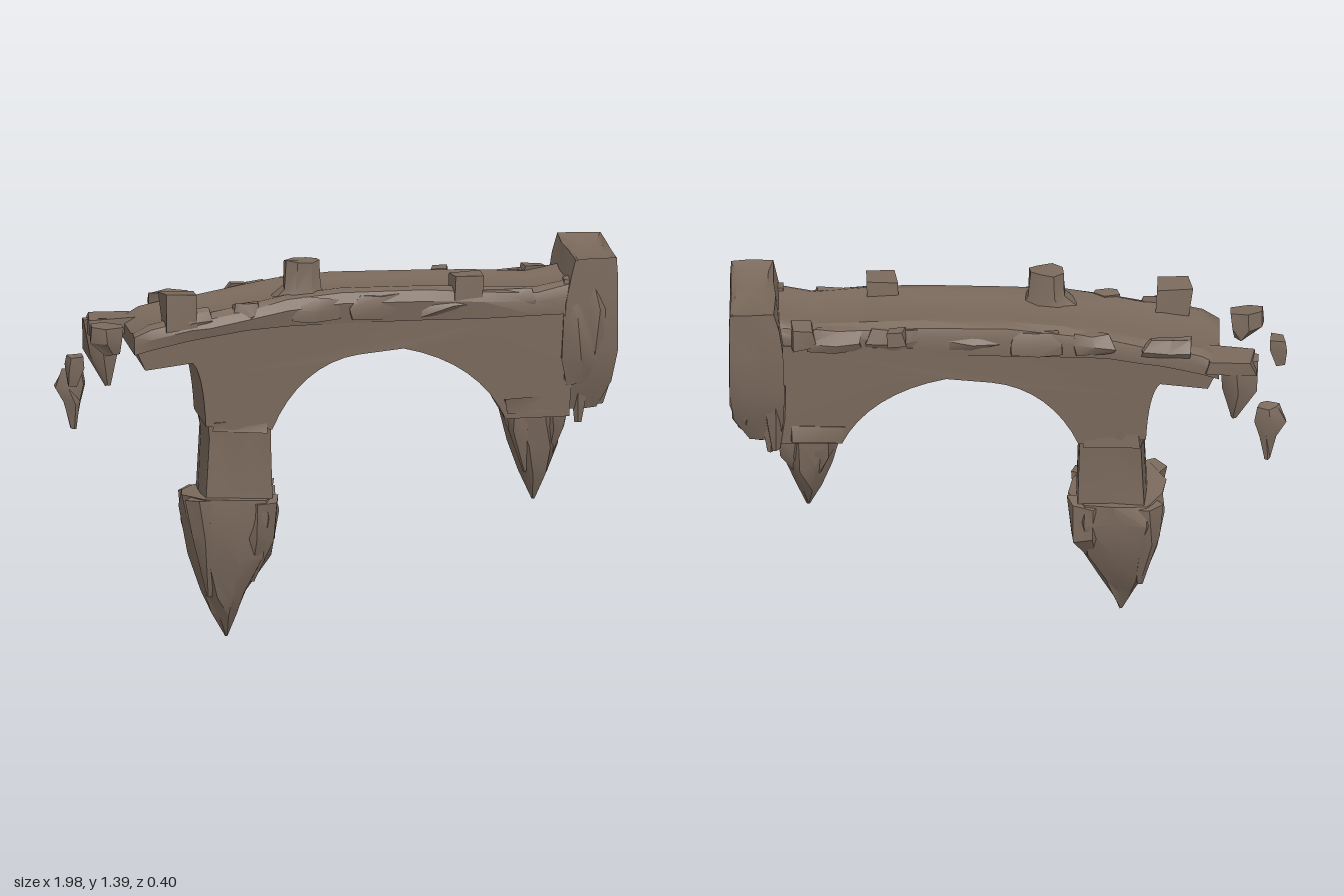
import * as THREE from 'three';
import { toCreasedNormals } from 'three/addons/utils/BufferGeometryUtils.js';

let seed = 7;
function rnd(a = 1) { // seeded noise in -a..a
  seed = (seed * 16807) % 2147483647;
  return (seed / 2147483647 * 2 - 1) * a;
}

// Closed skin through rings of [x, y, z] points, turned outward
function loft(rings) {
  const n = rings[0].length, pos = [], idx = [];
  rings.forEach(r => r.forEach(p => pos.push(...p)));
  for (let i = 0; i < rings.length - 1; i++) for (let j = 0; j < n; j++) {
    const a = i * n + j, b = i * n + (j + 1) % n;
    idx.push(a, b, a + n, b, b + n, a + n);
  }
  [0, rings.length - 1].forEach((k, end) => {
    const c = pos.length / 3;
    pos.push(...[0, 1, 2].map(d => rings[k].reduce((s, p) => s + p[d], 0) / n));
    for (let j = 0; j < n; j++) {
      const a = k * n + j, b = k * n + (j + 1) % n;
      end ? idx.push(a, b, c) : idx.push(b, a, c);
    }
  });
  const P = i => new THREE.Vector3().fromArray(pos, i * 3);
  let volume = 0;
  for (let i = 0; i < idx.length; i += 3) volume += P(idx[i]).dot(P(idx[i + 1]).cross(P(idx[i + 2])));
  if (volume < 0) idx.reverse();
  const g = new THREE.BufferGeometry();
  g.setAttribute('position', new THREE.Float32BufferAttribute(pos, 3));
  g.setIndex(idx);
  return toCreasedNormals(g, 0.6);
}

// Vertical rock from levels [y, x, z, radiusX, radiusZ]; square 1 = box-like, 0 = round
function rock(levels, sides, square, rough) {
  return loft(levels.map(([y, cx, cz, rx, rz]) => Array.from({ length: sides }, (_, j) => {
    const a = (j + 0.5) / sides * Math.PI * 2, c = Math.cos(a), s = Math.sin(a);
    const k = 1 + square * (1 / Math.max(Math.abs(c), Math.abs(s)) - 1);
    const small = Math.min(rough, rx * 0.3);
    return [cx + c * k * rx + rnd(small), y + rnd(small * 0.8), cz + s * k * rz + rnd(small)];
  })));
}

export function createModel() {
  seed = 7;
  const group = new THREE.Group();
  const stone = new THREE.MeshStandardMaterial({ color: 0x7b6a5d });
  stone.name = 'brown stone';
  const add = (name, geometry) => {
    const m = new THREE.Mesh(geometry, stone);
    m.name = name;
    group.add(m);
  };
  // Rough block spanning two corners
  const block = (name, x0, x1, y0, y1, z0, z1, rough = 0.008) => {
    const cx = (x0 + x1) / 2, cz = (z0 + z1) / 2, rx = (x1 - x0) / 2, rz = (z1 - z0) / 2;
    add(name, rock([[y0, cx, cz, rx, rz], [y1, cx, cz, rx * 0.92, rz * 0.92]], 4, 1, rough));
  };

  // Arched wall
  const s = new THREE.Shape();
  s.moveTo(-0.75, 1.11);
  s.lineTo(-0.71, 1.02);
  s.lineTo(-0.54, 1.04);
  s.quadraticCurveTo(-0.5, 1.0, -0.49, 0.8);
  s.lineTo(-0.25, 0.78);
  s.bezierCurveTo(-0.19, 0.93, -0.08, 1.03, 0.06, 1.045);
  s.lineTo(0.22, 1.06);
  s.bezierCurveTo(0.4, 1.02, 0.53, 0.92, 0.59, 0.78);
  s.lineTo(0.82, 0.78);
  s.lineTo(0.84, 1.2);
  s.lineTo(-0.3, 1.18);
  s.lineTo(-0.5, 1.16);
  const wall = new THREE.ExtrudeGeometry(s, { depth: 0.28, bevelEnabled: false, curveSegments: 8 });
  wall.translate(0, 0, -0.14);
  // Pinch the wall towards the pier thickness lower down
  const wp = wall.attributes.position;
  for (let i = 0; i < wp.count; i++) wp.setZ(i, wp.getZ(i) * (0.9 + 0.13 * Math.min(1, (wp.getY(i) - 0.78) / 0.38)));
  add('archWall', toCreasedNormals(wall, 0.6));

  // Deck with worn rims: [x, bottom, top, front z, back z]
  const deck = [[-0.75, 1.08, 1.15, 0.15, -0.175], [-0.69, 1.1, 1.185, 0.165, -0.175], [-0.55, 1.13, 1.215, 0.17, -0.17],
    [-0.48, 1.14, 1.22, 0.17, -0.17], [-0.35, 1.16, 1.245, 0.175, -0.165], [-0.2, 1.165, 1.27, 0.16, -0.165],
    [0, 1.165, 1.285, 0.15, -0.16], [0.3, 1.165, 1.282, 0.16, -0.145], [0.5, 1.165, 1.275, 0.175, -0.145],
    [0.7, 1.165, 1.262, 0.165, -0.14], [0.86, 1.165, 1.29, 0.16, -0.145]];
  add('deck', loft(deck.map(([x, b, t, f, k]) => [
    [x, b, f - 0.005], [x, t - 0.045, f + rnd(0.008)], [x, t - 0.012 + rnd(0.006), f - 0.012], [x, t, f - 0.045],
    [x, t - 0.01, f - 0.09], [x, t - 0.01, k + 0.09], [x, t, k + 0.045],
    [x, t - 0.012 + rnd(0.006), k + 0.012], [x, t - 0.045, k + rnd(0.008)], [x, b, k + 0.005]])));

  // Long worn stones bedded in both edges of the deck
  for (const side of [1, -1]) for (let i = 0; i < 6; i++) {
    const x = -0.56 + i * 0.235 + rnd(0.03), w = 0.085 + rnd(0.03);
    const y = 1.185 + 0.035 * Math.min(1, (x + 0.7) * 2), z = side > 0 ? 0.148 : -0.137 - 0.02 * (x < 0);
    add('edgeStone', rock([[y - 0.04, x, z, w, 0.012], [y, x, z, w, 0.026],
      [y + 0.04, x + rnd(0.02), z - side * 0.012, w * 0.85, 0.016]], 6, 0.9, 0.009));
  }

  // Raised parapet blocks
  block('merlon', -0.65, -0.525, 1.17, 1.3, 0.08, 0.165, 0.012);
  add('merlon', rock([[1.235, -0.15, 0.075, 0.11, 0.06], [1.29, -0.135, 0.075, 0.07, 0.048],
    [1.385, -0.135, 0.075, 0.06, 0.04]], 8, 0.85, 0.006));
  block('merlon', 0.395, 0.505, 1.22, 1.32, 0.08, 0.17);
  block('merlon', 0.37, 0.43, 1.22, 1.27, -0.18, -0.13, 0.012);
  block('merlon', 0.69, 0.77, 1.2, 1.27, -0.16, -0.1, 0.015);

  // Main pier and its pointed rock foot
  add('pier', rock([[1.0, -0.368, 0, 0.12, 0.13], [0.8, -0.368, 0, 0.122, 0.128],
    [0.75, -0.365, 0, 0.117, 0.122], [0.5, -0.368, 0, 0.125, 0.128]], 12, 0.8, 0.004));
  add('pierFoot', rock([[0.53, -0.385, 0, 0.168, 0.16], [0.46, -0.385, 0, 0.163, 0.165], [0.3, -0.385, 0.01, 0.135, 0.135],
    [0.17, -0.4, 0.02, 0.083, 0.095], [0.09, -0.4, 0.02, 0.045, 0.05], [0, -0.4, 0.025, 0.004, 0.004]], 10, 0.45, 0.014));
  // Slabs split off the foot
  [[-0.49, 0.12, 0.53], [-0.29, 0.115, 0.52], [-0.28, -0.11, 0.53], [-0.49, -0.11, 0.52]]
    .forEach(([x, z, y], i) => add('footShard', rock([[y, x, z, 0.065, 0.05], [y - 0.14, x, z, 0.06, 0.042],
      [0.16 + (i % 3) * 0.05, x * 0.75 - 0.1, z * 0.6, 0.012, 0.012]], 5, 0.4, 0.014)));

  // Hanging pier stump at the other springing
  add('brokenPier', rock([[0.92, 0.7, 0, 0.11, 0.125], [0.77, 0.7, -0.01, 0.11, 0.115], [0.66, 0.715, -0.01, 0.09, 0.1],
    [0.55, 0.715, 0, 0.05, 0.06], [0.45, 0.71, 0.005, 0.005, 0.005]], 8, 0.55, 0.012));
  [[0.64, 0.06, 0.56], [0.78, 0.05, 0.6], [0.65, -0.08, 0.6], [0.77, -0.08, 0.62]].forEach(([x, z, tip]) =>
    add('pierShard', rock([[0.82, x, z, 0.045, 0.05], [0.72, x, z, 0.035, 0.04],
      [tip, x * 0.6 + 0.29, z * 0.7, 0.006, 0.006]], 5, 0.4, 0.01)));

  // Worn springing ledges on both piers
  for (const z of [0.118, -0.118]) {
    block('ledge', -0.47, -0.27, 0.775, 0.815, z - 0.016, z + 0.016, 0.012);
    block('ledge', 0.59, 0.76, 0.79, 0.85, z - 0.022, z + 0.022, 0.018);
  }

  // Tall square end block with a ragged underside and a dipped top
  add('endBlock', rock([[1.352, 0.912, -0.02, 0.055, 0.14], [1.365, 0.908, -0.02, 0.078, 0.186], [1.3, 0.903, -0.02, 0.086, 0.187],
    [1.2, 0.897, -0.02, 0.096, 0.185], [1.03, 0.895, -0.02, 0.098, 0.183], [0.9, 0.885, -0.015, 0.09, 0.148],
    [0.8, 0.865, -0.015, 0.055, 0.11]], 12, 0.97, 0.005));
  [[0.86, 0.09, 0.75], [0.94, 0.08, 0.81], [0.95, -0.02, 0.79], [0.88, -0.03, 0.74], [0.85, -0.12, 0.75], [0.94, -0.12, 0.84],
    [0.83, -0.135, 0.76]].forEach(([x, z, tip]) =>
    add('endShard', rock([[1.04, x, z, 0.04, 0.05], [0.9, x, z, 0.038, 0.045],
      [tip, x - 0.005, z, 0.012, 0.014]], 5, 0.4, 0.012)));
  add('frontFacing', rock([[1.29, 0.85, 0.12, 0.045, 0.03], [1.15, 0.85, 0.13, 0.06, 0.045], [1.0, 0.85, 0.13, 0.06, 0.04],
    [0.9, 0.85, 0.115, 0.05, 0.03]], 6, 0.8, 0.012));
  add('frontFacing', rock([[1.29, 0.91, 0.13, 0.035, 0.03], [1.18, 0.91, 0.14, 0.045, 0.045],
    [1.02, 0.91, 0.13, 0.04, 0.035]], 6, 0.8, 0.012));

  // Broken deck end at the back
  block('brokenEdge', -0.88, -0.7, 1.1, 1.16, -0.18, -0.075, 0.012);
  add('brokenEdgeShard', rock([[1.15, -0.82, -0.13, 0.065, 0.05], [1.03, -0.82, -0.13, 0.058, 0.048],
    [0.9, -0.8, -0.13, 0.01, 0.012]], 6, 0.5, 0.012));

  // Floating fragments
  add('floatingRock', rock([[1.19, -0.85, 0.12, 0.058, 0.04], [1.13, -0.85, 0.12, 0.055, 0.045],
    [1.08, -0.83, 0.12, 0.03, 0.025]], 6, 0.8, 0.008));
  add('floatingRock', rock([[1.08, -0.955, 0.11, 0.028, 0.027], [1.04, -0.96, 0.11, 0.027, 0.027],
    [0.97, -0.97, 0.11, 0.014, 0.015]], 4, 0.9, 0.006));
  add('floatingRock', rock([[0.96, -0.925, -0.15, 0.04, 0.025], [0.9, -0.935, -0.15, 0.06, 0.032],
    [0.84, -0.925, -0.15, 0.035, 0.03], [0.74, -0.92, -0.15, 0.012, 0.01]], 6, 0.4, 0.008));
  return group;
}
